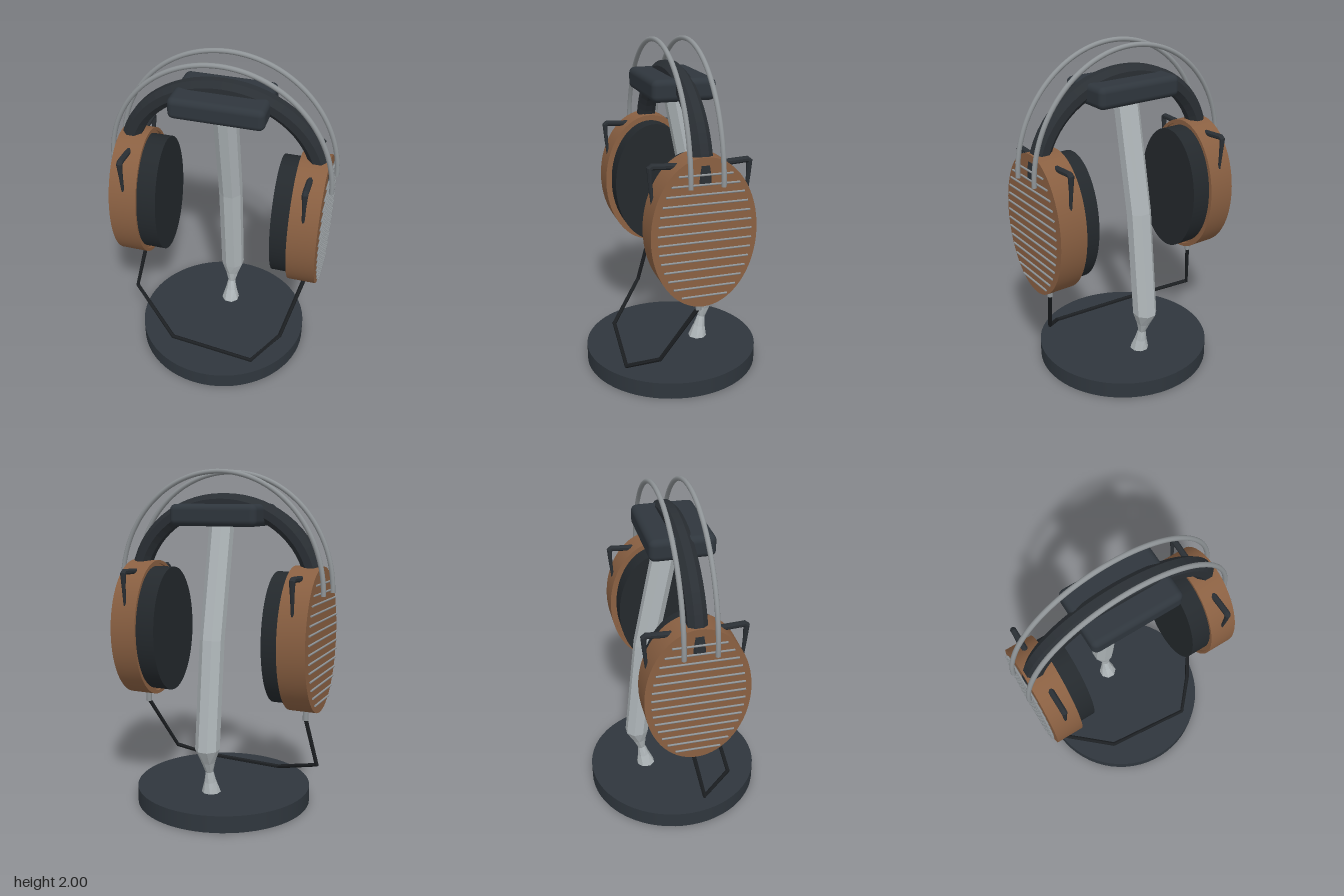
import * as THREE from 'three';
import { toCreasedNormals } from 'three/addons/utils/BufferGeometryUtils.js';
import { RoundedBoxGeometry } from 'three/addons/geometries/RoundedBoxGeometry.js';

const mat = (color, flatShading = false) => new THREE.MeshStandardMaterial({ color, flatShading });
const wood = mat(0x8a6042);
const dark = mat(0x2f363d);
const darkFlat = mat(0x2a2f34, true);
const padMat = mat(0x24292d);
const cableMat = mat(0x1c1f22, true);
const steel = mat(0x8f9497);
const postMat = mat(0xb0b7ba, true);

function add(parent, name, geometry, material) {
  const mesh = new THREE.Mesh(geometry, material);
  mesh.name = name;
  parent.add(mesh);
  return mesh;
}

// Faceted rod through points; rings are [x, y, z, radius, twist]
function loft(rings, sides, ref) {
  const pts = rings.map(r => new THREE.Vector3(r[0], r[1], r[2]));
  const pos = [], idx = [], n = rings.length;
  const dir = (a, b) => pts[b].clone().sub(pts[a]).normalize();
  rings.forEach((ring, i) => {
    const t = new THREE.Vector3();
    if (i > 0) t.add(dir(i - 1, i));
    if (i < n - 1) t.add(dir(i, i + 1));
    t.normalize();
    const u = ref.clone().addScaledVector(t, -ref.dot(t)).normalize();
    const v = t.clone().cross(u);
    for (let j = 0; j < sides; j++) {
      const a = (j + 0.5) / sides * Math.PI * 2 + (ring[4] || 0);
      const p = pts[i].clone().addScaledVector(u, ring[3] * Math.cos(a)).addScaledVector(v, ring[3] * Math.sin(a));
      pos.push(p.x, p.y, p.z);
    }
  });
  for (let i = 0; i < n - 1; i++) {
    for (let j = 0; j < sides; j++) {
      const a = i * sides + j, b = i * sides + (j + 1) % sides;
      idx.push(a, b, a + sides, b, b + sides, a + sides);
    }
  }
  // End caps
  const last = (n - 1) * sides;
  for (let j = 1; j < sides - 1; j++) idx.push(0, j + 1, j, last, last + j, last + j + 1);
  const g = new THREE.BufferGeometry();
  g.setAttribute('position', new THREE.Float32BufferAttribute(pos, 3));
  g.setIndex(idx);
  g.computeVertexNormals();
  return g;
}

// Half-ellipse arch in the xy plane
class Arch extends THREE.Curve {
  constructor(a, b, y, z) {
    super();
    Object.assign(this, { a, b, y, z });
  }
  getPoint(t, target = new THREE.Vector3()) {
    const k = Math.PI * t;
    return target.set(this.a * Math.cos(k), this.y + this.b * Math.sin(k), this.z);
  }
}

const CUP_Y = 1.04, RY = 0.42, RZ = 0.295;

// One ear cup on the +x side
function earCup() {
  const cup = new THREE.Group();

  // Oval wooden shell with a thin lip round the inner face
  const profile = [[0, 0.46], [0.95, 0.46], [0.95, 0.445], [1, 0.445], [1, 0.61], [0, 0.61]];
  const shell = new THREE.LatheGeometry(profile.map(p => new THREE.Vector2(...p)), 64);
  shell.rotateZ(-Math.PI / 2).scale(1, RY, RZ).translate(0, CUP_Y, 0);
  add(cup, 'cupShell', toCreasedNormals(shell, 0.6), wood);

  // Ear cushion
  const cushion = new THREE.CylinderGeometry(1, 1, 0.125, 64);
  cushion.rotateZ(-Math.PI / 2).scale(1, 0.384, 0.256).translate(0.4025, CUP_Y, 0);
  add(cup, 'earCushion', cushion, padMat);

  // Grille bars across the outer face
  for (let i = 0; i < 14; i++) {
    const y = 0.69 + i * 0.0523;
    const half = RZ * Math.sqrt(1 - ((y - CUP_Y) / RY) ** 2) - 0.035;
    const bar = new THREE.CylinderGeometry(0.006, 0.006, half * 2, 8);
    add(cup, 'grilleBar', bar.rotateX(Math.PI / 2), steel).position.set(0.621, y, 0);
  }

  // Hooked brackets front and back
  for (const s of [1, -1]) {
    const rings = [[0.525, 1.4, s * 0.12, 0.018], [0.525, 1.408, s * 0.262, 0.018],
      [0.525, 1.398, s * 0.276, 0.018], [0.525, 1.32, s * 0.272, 0.012], [0.525, 1.2, s * 0.262, 0.008]];
    add(cup, 'bracket', loft(rings, 8, new THREE.Vector3(1, 0, 0)), darkFlat);
  }

  // Cable socket
  add(cup, 'cableSocket', new THREE.CylinderGeometry(0.017, 0.017, 0.08, 12), steel).position.set(0.525, 0.6, 0);
  return cup;
}

export function createModel() {
  const model = new THREE.Group();

  // Stand base
  add(model, 'base', new THREE.CylinderGeometry(0.53, 0.53, 0.1, 64), dark).position.y = 0.05;

  // Bent post with a twisted, pinched foot
  const post = [[0, 0.09, -0.18, 0.06, -2.4], [0, 0.17, -0.193, 0.037, -1.8], [0, 0.235, -0.205, 0.024, -1.2],
    [0, 0.3, -0.217, 0.042, -0.6], [0, 0.38, -0.232, 0.073], [0, 1.02, -0.163, 0.073], [0, 1.72, -0.02, 0.073]];
  add(model, 'post', loft(post, 8, new THREE.Vector3(1, 0, 0)), postMat);

  // Headrest block carrying the band
  add(model, 'headrest', new RoundedBoxGeometry(0.54, 0.125, 0.365, 4, 0.035), dark).position.y = 1.74;

  // Padded headband
  const band = new Arch(0.568, 0.5, 1.31, 0);
  const bandRings = Array.from({ length: 33 }, (_, i) => [...band.getPoint(i / 32).toArray(), 0.058]);
  add(model, 'headband', loft(bandRings, 8, new THREE.Vector3(0, 0, 1)), darkFlat);

  // Twin wire hoops
  for (const z of [0.09, -0.09]) {
    add(model, 'wireHoop', new THREE.TubeGeometry(new Arch(0.642, 0.678, 1.307, z), 64, 0.014, 10), steel);
    for (const x of [0.642, -0.642]) {
      const end = new THREE.CylinderGeometry(0.014, 0.014, 0.004, 10);
      add(model, 'hoopEnd', end, steel).position.set(x, 1.307, z);
    }
  }

  // Ear cups
  for (const side of [0, 1]) {
    const cup = earCup();
    cup.name = side ? 'rightEarCup' : 'leftEarCup';
    cup.rotation.y = side * Math.PI;
    model.add(cup);
  }

  // Cable draped across the base
  const cable = [[-0.525, 0.57, 0], [-0.58, 0.275, 0.06], [-0.25, 0.13, 0.31],
    [0.28, 0.122, 0.36], [0.425, 0.22, 0.195], [0.525, 0.57, 0]].map(p => [...p, 0.013]);
  add(model, 'cable', loft(cable, 6, new THREE.Vector3(0, 0, 1)), cableMat);

  return model;
}
